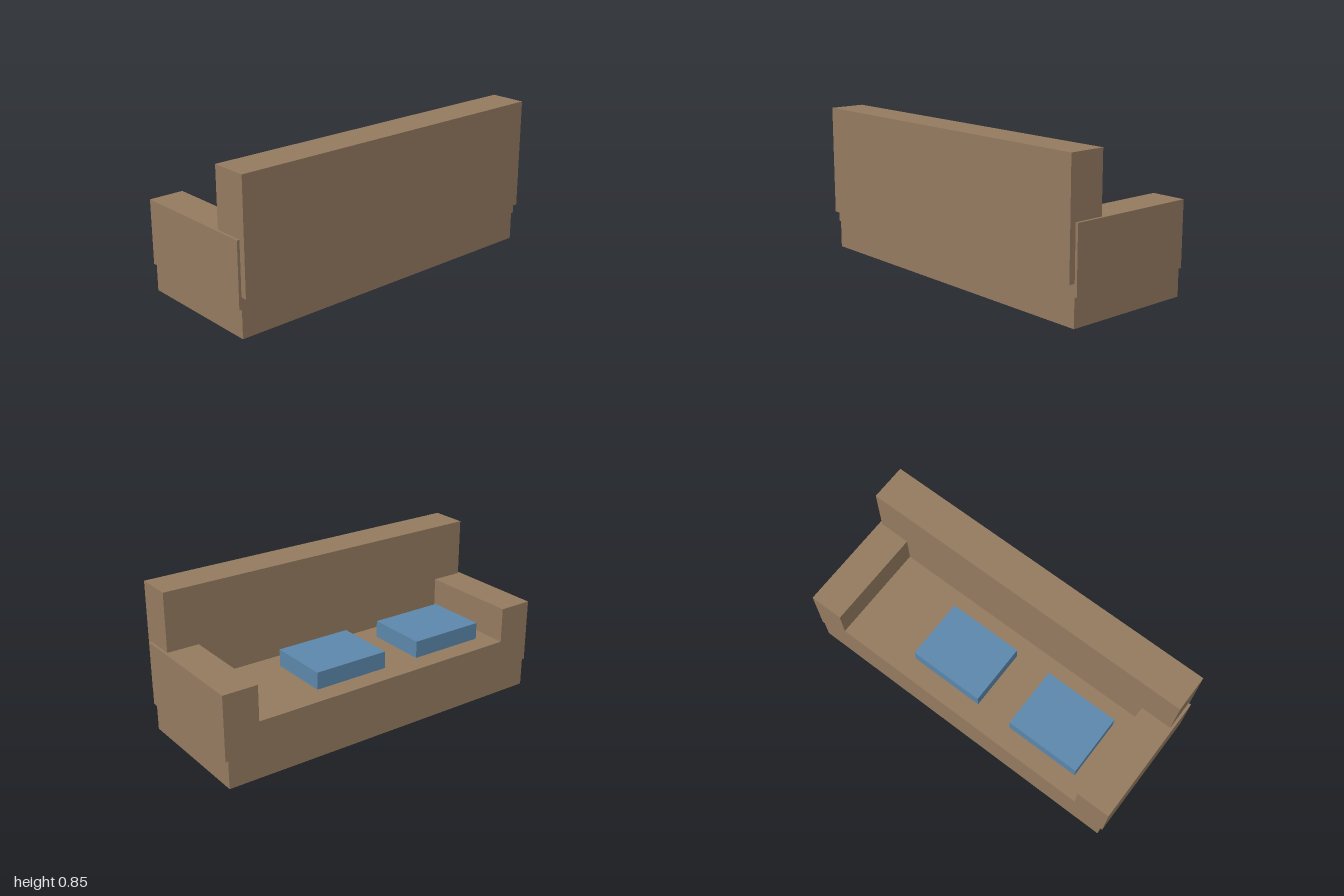
import * as THREE from 'three';

export function createModel() {
  const sofa = new THREE.Group();
  sofa.name = 'sofa';

  const upholstery = new THREE.MeshStandardMaterial({ color: 0x947a60 });
  upholstery.name = 'brown upholstery';
  const cushionFabric = new THREE.MeshStandardMaterial({ color: 0x5b87ab });
  cushionFabric.name = 'blue cushion fabric';

  // Box given by its extents along each axis
  function addBlock(name, material, [x0, x1], [y0, y1], [z0, z1]) {
    const mesh = new THREE.Mesh(new THREE.BoxGeometry(x1 - x0, y1 - y0, z1 - z0), material);
    mesh.position.set((x0 + x1) / 2, (y0 + y1) / 2, (z0 + z1) / 2);
    mesh.name = name;
    sofa.add(mesh);
  }

  const seatTop = 0.317;
  const depth = [-0.395, 0.36];

  // Seat base, and the backrest overhanging it at +z
  addBlock('seatBase', upholstery, [-0.985, 0.985], [0, seatTop], depth);
  addBlock('backrest', upholstery, [-0.985, 0.985], [0.222, 0.845], [0.187, 0.395]);

  // Armrests, slightly proud of the base at each end
  addBlock('leftArmrest', upholstery, [0.803, 1], [0.156, 0.516], depth);
  addBlock('rightArmrest', upholstery, [-1, -0.803], [0.156, 0.516], depth);

  // Loose cushions lying on the seat
  for (const [name, x] of [['leftCushion', -0.06], ['rightCushion', -0.717]]) {
    addBlock(name, cushionFabric, [x, x + 0.44], [seatTop, seatTop + 0.097], [-0.28, 0.075]);
  }

  return sofa;
}
